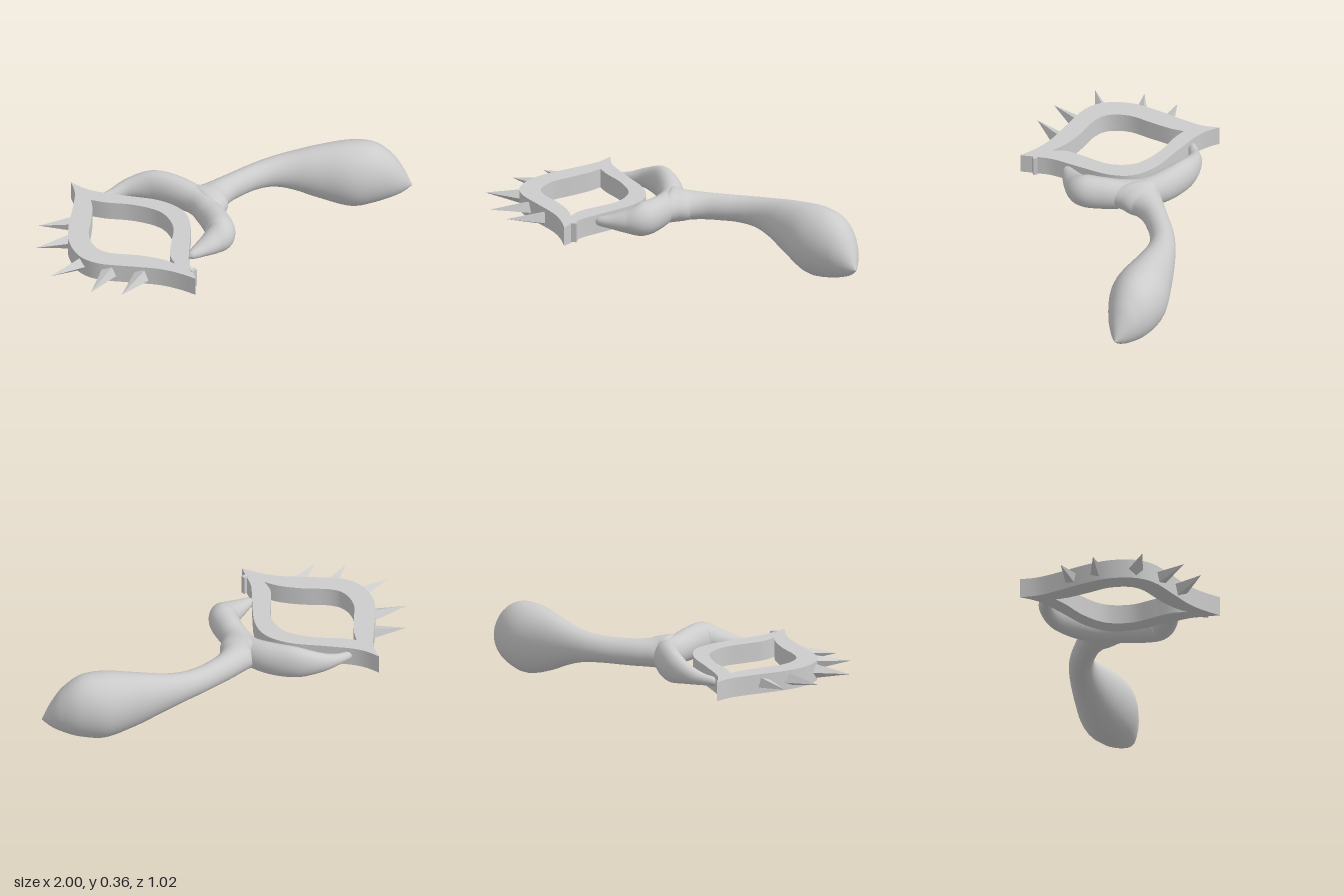
import * as THREE from 'three';
import { toCreasedNormals } from 'three/addons/utils/BufferGeometryUtils.js';

const material = new THREE.MeshStandardMaterial({ color: 0xcccccc, side: THREE.DoubleSide });

function add(parent, name, geometry) {
  const mesh = new THREE.Mesh(geometry, material);
  mesh.name = name;
  parent.add(mesh);
  return mesh;
}

// Smooth body through upright elliptical sections: [x, y, z, half width, half height]
function loft(rows, steps, sides) {
  const spine = new THREE.CatmullRomCurve3(rows.map(r => new THREE.Vector3(r[0], r[1], r[2])), false, 'catmullrom', 0.5);
  const sizes = new THREE.CatmullRomCurve3(rows.map(r => new THREE.Vector3(r[3], r[4], 0)), false, 'catmullrom', 0.5);
  const positions = [], index = [];
  for (let i = 0; i <= steps; i++) {
    const t = i / steps;
    const p = spine.getPoint(t), s = sizes.getPoint(t), d = spine.getTangent(t);
    const len = Math.hypot(d.x, d.z);
    const w = Math.max(s.x, 0.001), h = Math.max(s.y, 0.001);
    for (let j = 0; j < sides; j++) {
      const a = j / sides * Math.PI * 2, c = Math.cos(a) * w;
      positions.push(p.x - d.z / len * c, p.y + Math.sin(a) * h, p.z + d.x / len * c);
    }
  }
  for (let i = 0; i < steps; i++) {
    for (let j = 0; j < sides; j++) {
      const k = (j + 1) % sides;
      const a = i * sides + j, b = a + sides, c = i * sides + k, e = c + sides;
      index.push(a, b, c, b, e, c);
    }
  }
  const g = new THREE.BufferGeometry();
  g.setAttribute('position', new THREE.Float32BufferAttribute(positions, 3));
  g.setIndex(index);
  g.computeVertexNormals();
  return g;
}

// Closed outline from two smooth sides that meet in sharp tips
function outline(sideA, sideB) {
  const sample = pts => new THREE.SplineCurve(pts.map(p => new THREE.Vector2(...p))).getPoints(40).slice(0, -1);
  return [...sample(sideA), ...sample(sideB)];
}

export function createModel() {
  const model = new THREE.Group();
  model.name = 'spikedEyeWithHandle';

  // Eye-shaped frame, drawn in x and z
  const outer = outline(
    [[-0.48, -0.515], [-0.46, -0.44], [-0.42, -0.37], [-0.32, -0.25], [-0.22, -0.13], [-0.175, 0],
      [-0.21, 0.12], [-0.31, 0.25], [-0.40, 0.36], [-0.435, 0.43], [-0.47, 0.51]],
    [[-0.47, 0.51], [-0.51, 0.42], [-0.57, 0.33], [-0.68, 0.22], [-0.785, 0.11], [-0.82, 0],
      [-0.785, -0.13], [-0.70, -0.24], [-0.60, -0.34], [-0.52, -0.43], [-0.48, -0.515]]);
  const inner = outline(
    [[-0.49, -0.335], [-0.44, -0.27], [-0.35, -0.18], [-0.285, -0.08], [-0.27, 0], [-0.30, 0.1],
      [-0.38, 0.19], [-0.45, 0.27], [-0.475, 0.345]],
    [[-0.475, 0.345], [-0.51, 0.27], [-0.58, 0.18], [-0.68, 0.08], [-0.71, 0], [-0.68, -0.1],
      [-0.60, -0.19], [-0.53, -0.27], [-0.49, -0.335]]);
  const shape = new THREE.Shape(outer);
  shape.holes.push(new THREE.Path(inner));
  const frame = new THREE.ExtrudeGeometry(shape, { depth: 0.1, bevelEnabled: false });
  frame.rotateX(Math.PI / 2).translate(0, 0.265, 0);
  add(model, 'eyeFrame', toCreasedNormals(frame, 0.6));

  // Small ridge beside the front corner
  add(model, 'cornerRidge', new THREE.BoxGeometry(0.03, 0.1, 0.022)).position.set(-0.435, 0.219, 0.445);

  // Spikes: base and tip in x and z
  const spikes = new THREE.Group();
  spikes.name = 'spikes';
  model.add(spikes);
  for (const [bx, bz, tx, tz] of [
    [-0.62, -0.27, -0.79, -0.37], [-0.72, -0.165, -0.915, -0.23], [-0.79, 0.01, -1, 0.005],
    [-0.73, 0.145, -0.92, 0.235], [-0.63, 0.275, -0.81, 0.345]]) {
    const base = new THREE.Vector3(bx, 0.215, bz), tip = new THREE.Vector3(tx, 0.217, tz);
    const dir = tip.clone().sub(base), length = dir.length();
    const cone = new THREE.ConeGeometry(0.042, length, 4).toNonIndexed();
    cone.computeVertexNormals();
    const spike = add(spikes, 'spike', cone);
    spike.quaternion.setFromUnitVectors(new THREE.Vector3(0, 1, 0), dir.normalize());
    spike.position.copy(base).add(tip).multiplyScalar(0.5);
  }

  // Curved fork that grips the frame
  add(model, 'forkArms', loft([
    [-0.44, 0.218, -0.36, 0.004, 0.008],
    [-0.41, 0.22, -0.36, 0.02, 0.022],
    [-0.34, 0.225, -0.352, 0.028, 0.032],
    [-0.25, 0.24, -0.332, 0.04, 0.055],
    [-0.155, 0.25, -0.265, 0.055, 0.085],
    [-0.085, 0.245, -0.15, 0.065, 0.087],
    [-0.05, 0.24, -0.03, 0.065, 0.078],
    [-0.065, 0.24, 0.08, 0.067, 0.078],
    [-0.09, 0.245, 0.18, 0.07, 0.085],
    [-0.13, 0.248, 0.265, 0.075, 0.085],
    [-0.20, 0.24, 0.288, 0.062, 0.06],
    [-0.28, 0.235, 0.297, 0.042, 0.036],
    [-0.34, 0.232, 0.302, 0.022, 0.022],
    [-0.36, 0.23, 0.303, 0.003, 0.004],
  ], 90, 24));

  // Handle swelling into a pointed bulb
  add(model, 'handle', loft([
    [-0.09, 0.242, 0.0, 0.01, 0.01],
    [-0.05, 0.242, 0.0, 0.15, 0.075],
    [0.0, 0.24, -0.005, 0.115, 0.08],
    [0.05, 0.236, -0.022, 0.083, 0.073],
    [0.12, 0.233, -0.036, 0.066, 0.069],
    [0.2, 0.232, -0.04, 0.06, 0.068],
    [0.3, 0.232, -0.038, 0.06, 0.069],
    [0.4, 0.23, -0.02, 0.066, 0.079],
    [0.5, 0.22, 0.02, 0.082, 0.104],
    [0.62, 0.202, 0.09, 0.112, 0.146],
    [0.75, 0.186, 0.175, 0.143, 0.179],
    [0.85, 0.186, 0.24, 0.127, 0.167],
    [0.92, 0.168, 0.295, 0.09, 0.122],
    [0.965, 0.14, 0.333, 0.048, 0.067],
    [1.0, 0.11, 0.362, 0.002, 0.002],
  ], 98, 32));

  return model;
}
